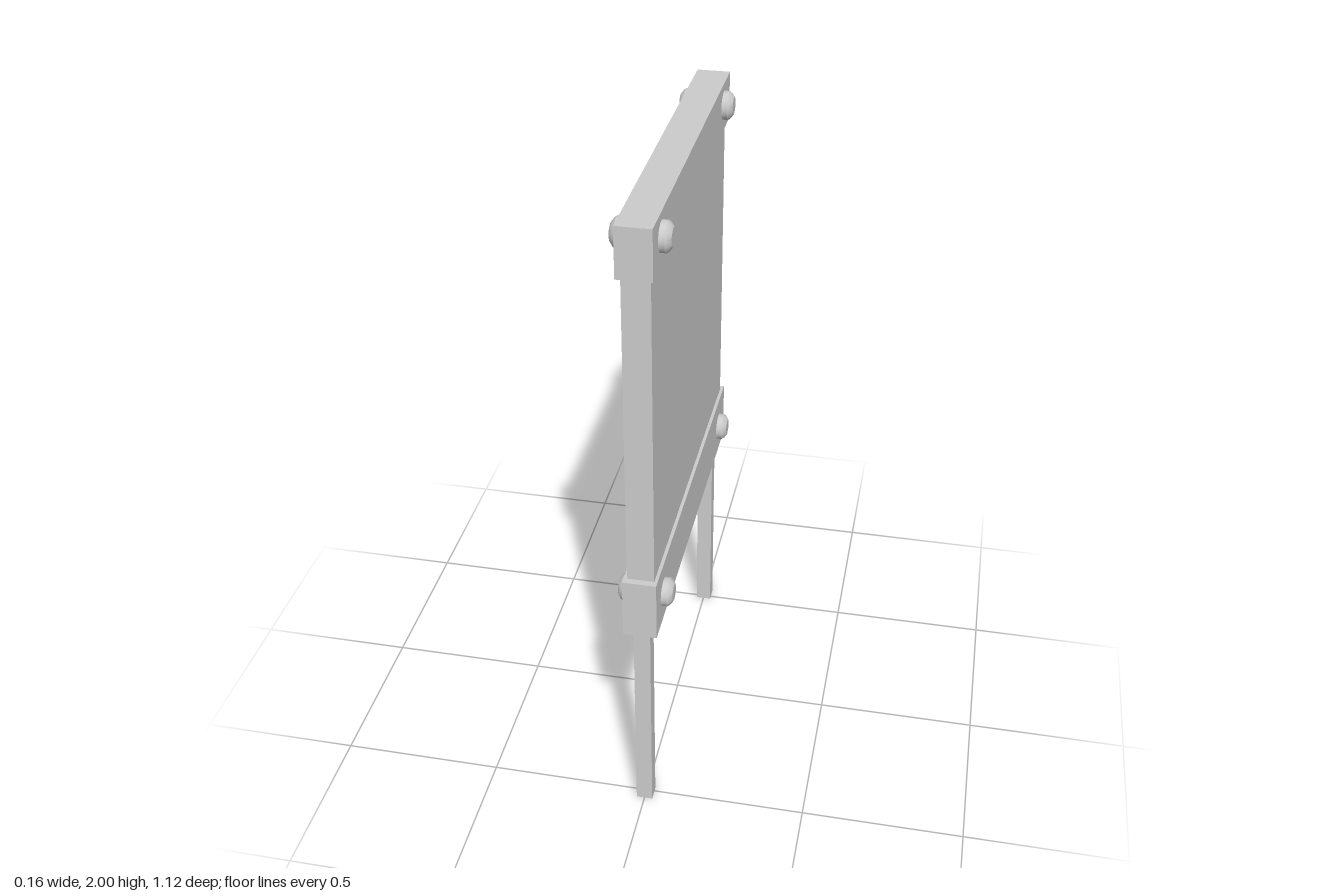
import * as THREE from 'three';
import { toCreasedNormals } from 'three/addons/utils/BufferGeometryUtils.js';

export function createModel() {
  const model = new THREE.Group();
  model.name = 'signBoard';
  const material = new THREE.MeshStandardMaterial({ color: 0xcccccc });

  // Box given by thickness, height range, depth and centre z
  function addBox(name, thickness, bottom, top, depth, z = 0) {
    const mesh = new THREE.Mesh(new THREE.BoxGeometry(thickness, top - bottom, depth), material);
    mesh.name = name;
    mesh.position.set(0, (bottom + top) / 2, z);
    model.add(mesh);
  }

  // Board clamped between two rails
  addBox('panel', 0.08, 0.88, 1.852, 1.077);
  addBox('topRail', 0.1, 1.852, 2, 1.119);
  addBox('bottomRail', 0.1, 0.691, 0.882, 1.119);

  // Legs under the bottom rail
  addBox('leftLeg', 0.05, 0, 0.691, 0.048, 0.51);
  addBox('rightLeg', 0.05, 0, 0.691, 0.048, -0.51);

  // Bolt heads: a short shank edge, a rounded shoulder and a flat face
  const profile = [[0.043, 0], [0.043, 0.016], [0.038, 0.023], [0.026, 0.0315], [0, 0.0315]]
    .map(([r, h]) => new THREE.Vector2(r, h));
  const boltGeometry = toCreasedNormals(new THREE.LatheGeometry(profile, 20), 0.6);
  boltGeometry.rotateZ(-Math.PI / 2);
  for (const side of [1, -1]) {
    for (const y of [1.933, 0.785]) {
      for (const z of [0.456, -0.456]) {
        const bolt = new THREE.Mesh(boltGeometry, material);
        bolt.name = 'boltHead';
        bolt.position.set(side * 0.05, y, z);
        bolt.rotation.y = side > 0 ? 0 : Math.PI;
        model.add(bolt);
      }
    }
  }
  return model;
}
